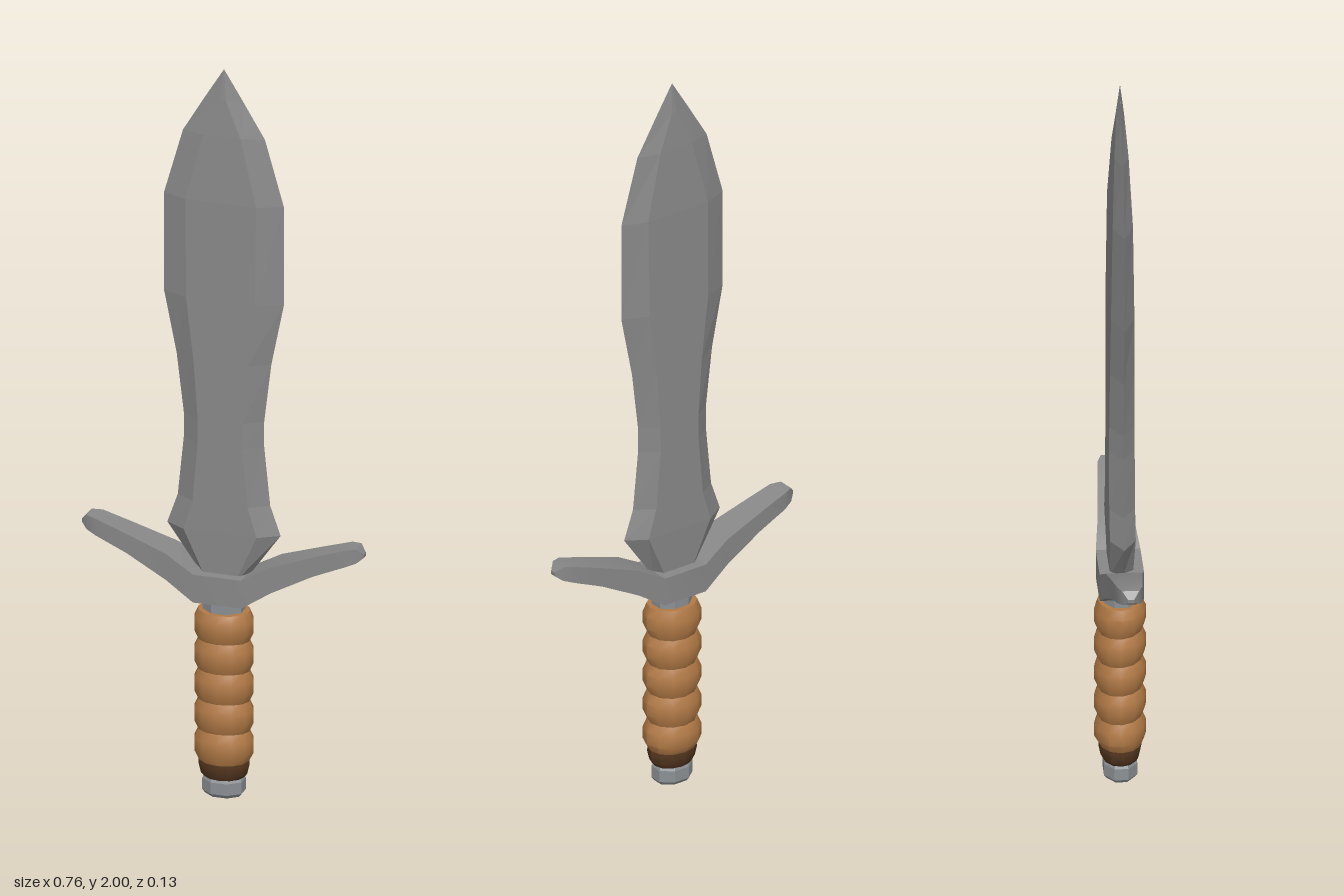
import * as THREE from 'three';
import { toCreasedNormals } from 'three/addons/utils/BufferGeometryUtils.js';

// Skin a list of closed rings (each counter-clockwise seen from the far end) and cap both ends.
function loft(rings, crease = 0) {
  const pos = [];
  const tri = (a, b, c) => pos.push(...a, ...b, ...c);
  const n = rings[0].length;
  for (let i = 0; i < rings.length - 1; i++) {
    const lo = rings[i], hi = rings[i + 1];
    for (let j = 0; j < n; j++) {
      const k = (j + 1) % n;
      tri(lo[j], lo[k], hi[k]);
      tri(lo[j], hi[k], hi[j]);
    }
  }
  const first = rings[0], last = rings[rings.length - 1];
  for (let j = 1; j < n - 1; j++) {
    tri(first[0], first[j + 1], first[j]);
    tri(last[0], last[j], last[j + 1]);
  }
  const geo = new THREE.BufferGeometry();
  geo.setAttribute('position', new THREE.Float32BufferAttribute(pos, 3));
  geo.computeVertexNormals();
  return crease ? toCreasedNormals(geo, crease) : geo;
}

// Oval ring around the y axis; tilt raises its front and lowers its back.
function oval(y, rx, rz, sides, turn = 0, tilt = 0) {
  return Array.from({ length: sides }, (_, i) => {
    const a = (i + turn) / sides * Math.PI * 2;
    return [rx * Math.cos(a), y - tilt * Math.sin(a), -rz * Math.sin(a)];
  });
}

export function createModel() {
  const group = new THREE.Group();
  const material = (name, color) => {
    const m = new THREE.MeshStandardMaterial({ color });
    m.name = name;
    return m;
  };
  const steel = material('steel', 0x888888);
  const paleSteel = material('pale steel', 0x8b9094);
  const leather = material('leather', 0xb27a46);
  const darkLeather = material('dark leather', 0x53361f);
  const add = (name, geo, mat) => {
    const mesh = new THREE.Mesh(geo, mat);
    mesh.name = name;
    group.add(mesh);
  };

  // Blade: [height, half width, half width of flat, half thickness]
  const bladeRows = [
    [0.60, 0.06, 0.04, 0.03], [0.73, 0.152, 0.098, 0.033], [0.81, 0.124, 0.074, 0.033],
    [0.97, 0.108, 0.06, 0.033], [1.04, 0.108, 0.06, 0.032], [1.2, 0.127, 0.072, 0.031],
    [1.37, 0.161, 0.092, 0.03], [1.64, 0.161, 0.095, 0.026], [1.82, 0.11, 0.05, 0.018],
    [1.92, 0.05, 0.008, 0.01], [2.0, 0.0005, 0.0003, 0.0005],
  ];
  add('blade', loft(bladeRows.map(([y, w, f, t]) => [
    [w, y, 0], [f, y, -t], [-f, y, -t], [-w, y, 0], [-f, y, t], [f, y, t],
  ])), steel);

  // Crossguard: [x, bottom, top, half depth], mirrored to the other side
  const guardHalf = [
    [0.065, 0.54, 0.617, 0.057], [0.14, 0.588, 0.66, 0.047], [0.25, 0.645, 0.698, 0.038],
    [0.335, 0.68, 0.726, 0.032], [0.362, 0.69, 0.729, 0.022], [0.378, 0.702, 0.712, 0.008],
  ];
  const guardRows = [...guardHalf.map(([x, ...r]) => [-x, ...r]).reverse(), ...guardHalf];
  add('crossguard', loft(guardRows.map(([x, b, t, d]) => [
    [x, t, -d], [x, t, d], [x, b, d], [x, b, -d],
  ]), 0.5), steel);

  // Metal collar between guard and grip
  add('collar', loft([oval(0.48, 0.056, 0.046, 8, 0.5), oval(0.55, 0.056, 0.046, 8, 0.5)]), paleSteel);

  // Grip of five leather bulges
  const gripRings = [];
  const bulges = 5, bottom = 0.095, step = 0.083;
  for (let i = 0; i < bulges; i++) {
    const y = bottom + i * step;
    if (i === 0) gripRings.push(oval(y, 0.066, 0.055, 12));
    gripRings.push(oval(y + step * 0.3, 0.079, 0.067, 12, 0, 0.004));
    gripRings.push(oval(y + step * 0.7, 0.079, 0.067, 12, 0, 0.004));
    gripRings.push(oval(y + step, 0.068, 0.057, 12, 0, i < bulges - 1 ? 0.004 : 0));
  }
  add('grip', loft(gripRings, 0.7), leather);

  // Dark binding under the grip
  add('binding', loft([
    oval(0.05, 0.054, 0.044, 12), oval(0.06, 0.062, 0.05, 12),
    oval(0.085, 0.068, 0.055, 12), oval(0.1, 0.066, 0.054, 12),
  ], 0.6), darkLeather);

  // Pommel
  add('pommel', loft([
    oval(0, 0.049, 0.038, 8, 0.5), oval(0.01, 0.057, 0.046, 8, 0.5),
    oval(0.042, 0.057, 0.046, 8, 0.5), oval(0.056, 0.05, 0.04, 8, 0.5),
  ]), paleSteel);

  return group;
}
